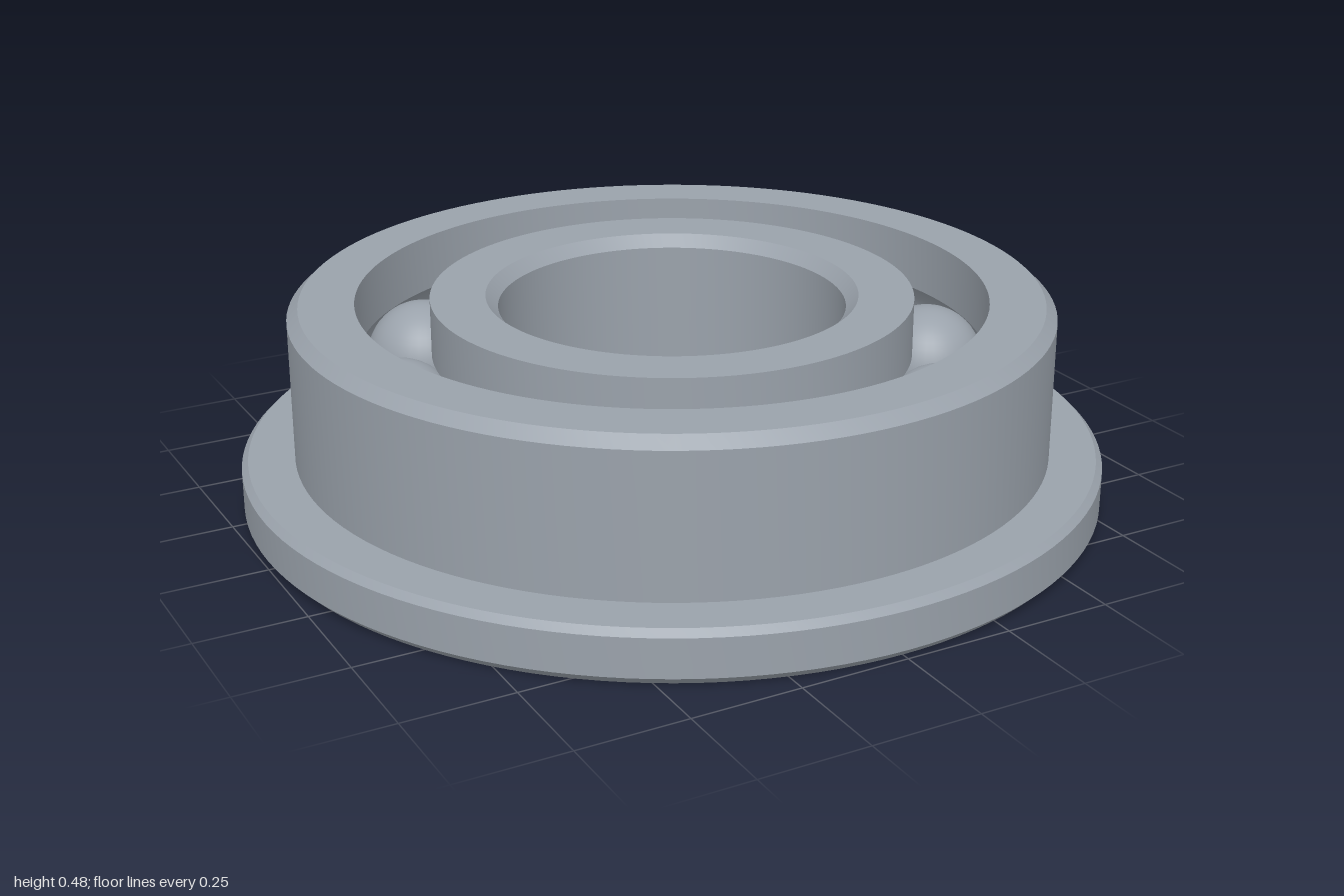
import * as THREE from 'three';
import { toCreasedNormals } from 'three/addons/utils/BufferGeometryUtils.js';

const HEIGHT = 0.48, MID = HEIGHT / 2;
const PITCH = 0.64, BALL_RADIUS = 0.134, BALL_COUNT = 10;
const OUTER_BORE = 0.725, INNER_RIM = 0.555;

// Circular raceway arc between the points where it meets a wall of radius r
function raceway(r, side) {
  const R = BALL_RADIUS + 0.001;
  const half = Math.acos(Math.abs(r - PITCH) / R);
  const points = [];
  for (let i = 0; i <= 14; i++) {
    const a = half * (1 - i / 7);
    points.push([PITCH + side * R * Math.cos(a), MID + side * R * Math.sin(a)]);
  }
  return points;
}

// Closed, counter-clockwise (radius, height) profile turned about y
function ring(name, profile, material) {
  const points = [...profile, profile[0]].map(([r, y]) => new THREE.Vector2(r, y));
  const geometry = toCreasedNormals(new THREE.LatheGeometry(points, 128), 0.4);
  const mesh = new THREE.Mesh(geometry, material);
  mesh.name = name;
  return mesh;
}

export function createModel() {
  const model = new THREE.Group();
  model.name = 'flangedBallBearing';
  const steel = new THREE.MeshStandardMaterial({ color: 0x9aa2ab });
  steel.name = 'steel';

  // Outer ring with chamfered flange and grooved bore
  model.add(ring('outerRing', [
    [OUTER_BORE, 0], [0.98, 0], [1, 0.02], [1, 0.11], [0.985, 0.125],
    [0.878, 0.125], [0.878, 0.455], [0.852, HEIGHT], [OUTER_BORE, HEIGHT],
    ...raceway(OUTER_BORE, 1),
  ], steel));

  // Inner ring with grooved rim and chamfered bore
  model.add(ring('innerRing', [
    [0.428, 0], [INNER_RIM, 0], ...raceway(INNER_RIM, -1),
    [INNER_RIM, HEIGHT], [0.428, HEIGHT], [0.4, 0.452], [0.4, 0.028],
  ], steel));

  // Balls evenly spaced around the raceway
  const balls = new THREE.Group();
  balls.name = 'balls';
  const ballGeometry = new THREE.SphereGeometry(BALL_RADIUS, 40, 24);
  for (let i = 0; i < BALL_COUNT; i++) {
    const a = (i / BALL_COUNT) * Math.PI * 2 - THREE.MathUtils.degToRad(6);
    const ball = new THREE.Mesh(ballGeometry, steel);
    ball.name = 'ball';
    ball.position.set(PITCH * Math.sin(a), MID, -PITCH * Math.cos(a));
    balls.add(ball);
  }
  model.add(balls);
  return model;
}
